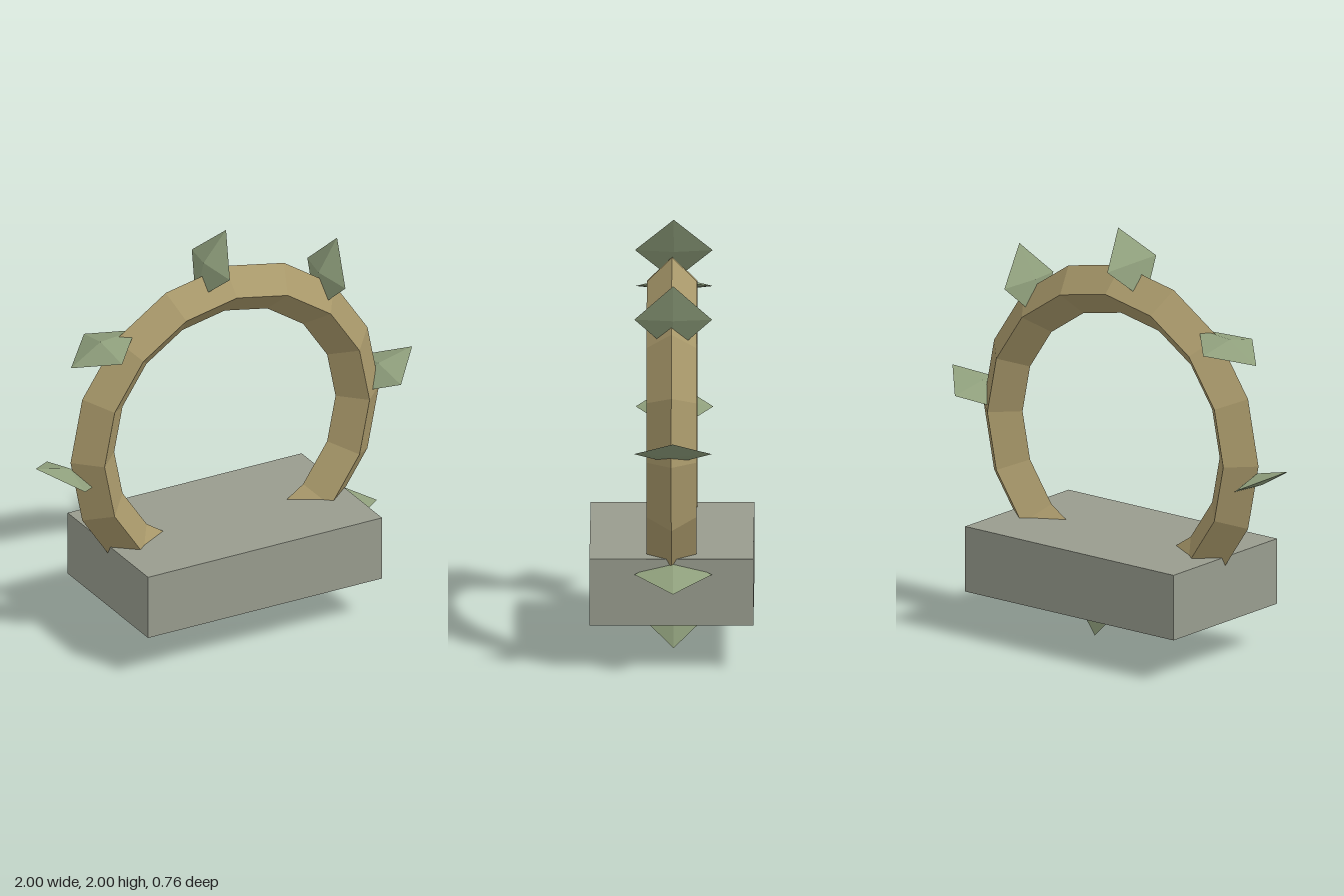
import * as THREE from 'three';

const material = (name, color) => {
  const m = new THREE.MeshStandardMaterial({ color });
  m.name = name;
  return m;
};

// Flat kite-shaped leaf: tip along +x, width along z, ridge on the +y side
function leafGeometry() {
  const geo = new THREE.OctahedronGeometry(0.18);
  const p = geo.attributes.position;
  for (let i = 0; i < p.count; i++) {
    const y = p.getY(i);
    p.setY(i, y * (y > 0 ? 0.24 : 0.08));
  }
  geo.computeVertexNormals();
  return geo;
}

export function createModel() {
  const model = new THREE.Group();
  const stone = material('grey stone', 0x989c8e);
  const wood = material('tan wood', 0xa8986a);
  const green = material('sage green', 0x8f9f7c);
  wood.flatShading = true;

  const add = (name, geo, mat, x, y, z) => {
    const mesh = new THREE.Mesh(geo, mat);
    mesh.name = name;
    mesh.position.set(x, y, z);
    model.add(mesh);
    return mesh;
  };

  // Block that the ring is sunk into
  add('base', new THREE.BoxGeometry(1.245, 0.315, 0.76), stone, 0, 0.367, 0);

  // Faceted ring with a diamond cross-section
  add('ring', new THREE.TorusGeometry(0.705, 0.116, 4, 16), wood, 0, 1, 0);

  // Leaves every 45 degrees, leaning the same way round the ring
  const leaf = leafGeometry();
  const tilt = 0.464;
  for (let i = -2; i <= 4; i++) {
    const a = (i * Math.PI) / 4;
    const r = 0.843, b = a + 0.083;
    const mesh = add('leaf', leaf, green, r * Math.cos(b), 1 + r * Math.sin(b), -0.008);
    // Roll the leaf over where needed so its ridge faces up
    const roll = Math.cos(a + tilt) < 0 ? Math.PI : 0;
    mesh.rotation.set(roll, 0, a + tilt);
  }
  return model;
}
